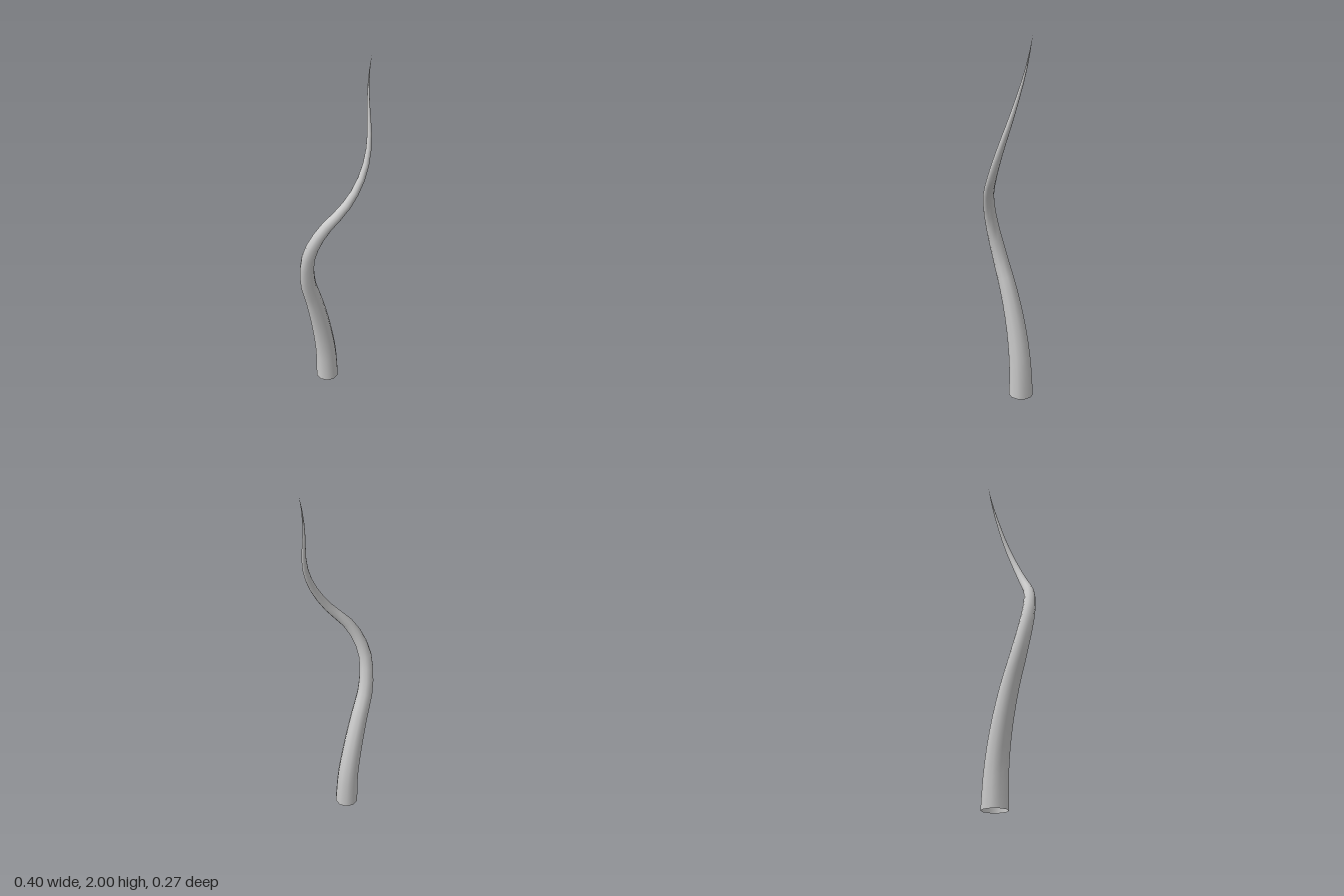
import * as THREE from 'three';

const SIDES = 10, RINGS = 28, BASE_RADIUS = 0.068;

// Centre line of the tendril, from the base to the tip
const path = new THREE.CatmullRomCurve3([
  [-0.028, 0, -0.068], [-0.037, 0.2, -0.063], [-0.066, 0.4, -0.046], [-0.108, 0.6, -0.015],
  [-0.153, 0.78, 0.024], [-0.158, 0.96, 0.066], [-0.126, 1.07, 0.09], [-0.067, 1.17, 0.106],
  [0.026, 1.27, 0.107], [0.1, 1.38, 0.093], [0.147, 1.49, 0.067], [0.17, 1.6, 0.033],
  [0.177, 1.8, -0.029], [0.184, 1.9, -0.052], [0.2, 2, -0.067],
].map((p) => new THREE.Vector3(...p)));

// Open tube whose rings shrink evenly to a point at the tip
function taperedTube() {
  const geometry = new THREE.TubeGeometry(path, RINGS, BASE_RADIUS, SIDES, false);
  const pos = geometry.attributes.position, nor = geometry.attributes.normal;
  const phase = -Math.PI / 30;
  for (let i = 0; i <= RINGS; i++) {
    const t = i / RINGS, centre = path.getPointAt(t);
    // The first ring lies flat on the ground
    const tangent = i === 0 ? new THREE.Vector3(0, 1, 0) : path.getTangentAt(t);
    const across = new THREE.Vector3(1, 0, 0).projectOnPlane(tangent).normalize();
    const forward = new THREE.Vector3().crossVectors(across, tangent);
    const radius = BASE_RADIUS * (1 - t);
    for (let j = 0; j <= SIDES; j++) {
      const a = phase + (j / SIDES) * Math.PI * 2, k = i * (SIDES + 1) + j;
      const n = new THREE.Vector3().addScaledVector(across, Math.cos(a)).addScaledVector(forward, Math.sin(a));
      nor.setXYZ(k, n.x, n.y, n.z);
      n.multiplyScalar(radius).add(centre);
      pos.setXYZ(k, n.x, n.y, n.z);
    }
  }
  return geometry;
}

export function createModel() {
  const group = new THREE.Group();
  group.name = 'tendril';

  // Curling, tapering stem, hollow and open at the bottom
  const material = new THREE.MeshStandardMaterial({ color: 0xcccccc, side: THREE.DoubleSide });
  const stem = new THREE.Mesh(taperedTube(), material);
  stem.name = 'stem';
  group.add(stem);
  return group;
}
